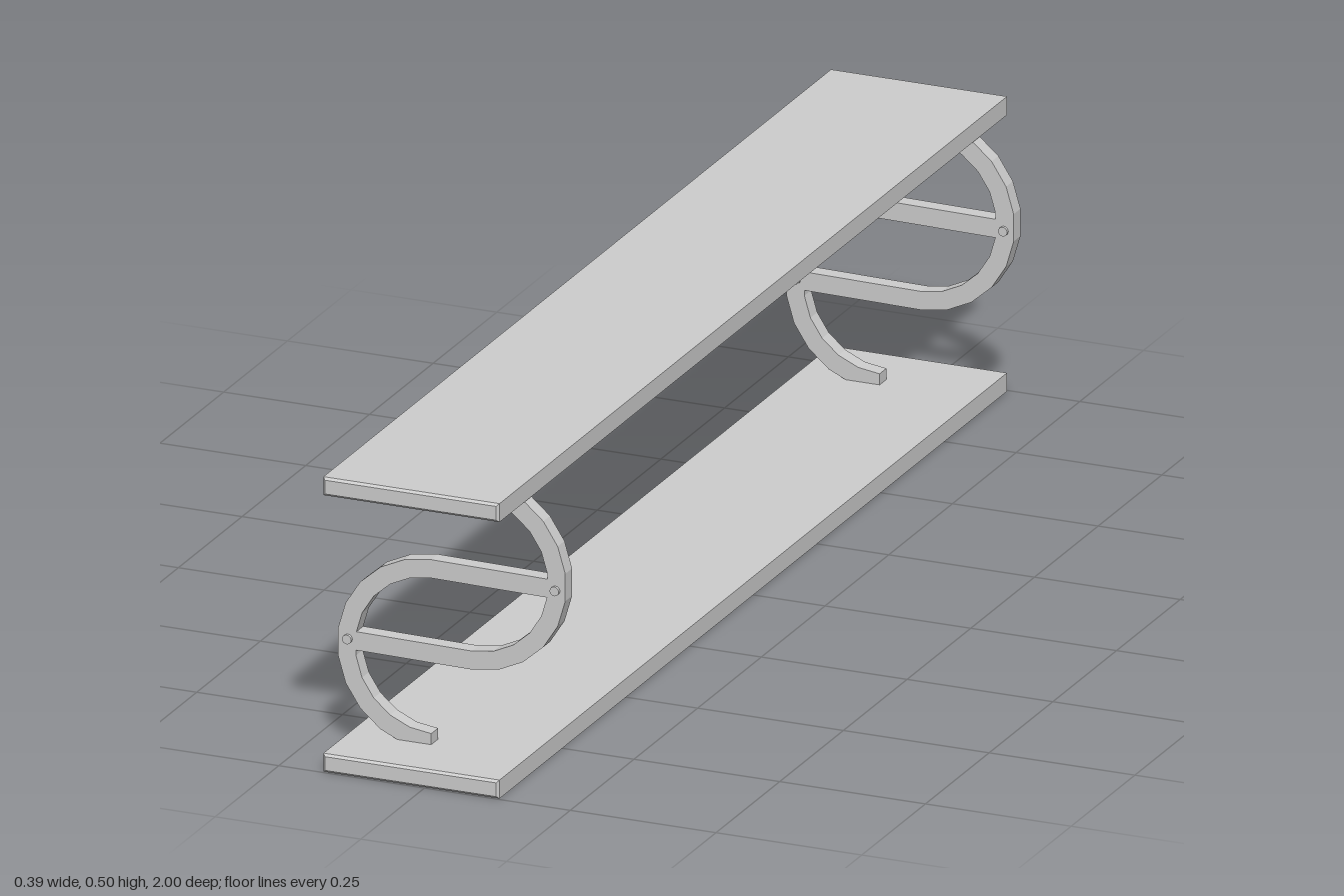
import * as THREE from 'three';

const material = new THREE.MeshStandardMaterial({ color: 0xcccccc });
const MID_Y = 0.2545;    // height of the point the two hooks turn about
const BAND = 0.027;      // hook thickness along z

function add(parent, name, geometry) {
  const mesh = new THREE.Mesh(geometry, material);
  mesh.name = name;
  parent.add(mesh);
  return mesh;
}

// Long board with every edge chamfered
function shelfGeometry(width, height, length, c) {
  const w = width / 2 - c, h = height / 2 - c;
  const shape = new THREE.Shape();
  shape.moveTo(-w, -h).lineTo(w, -h).lineTo(w, h).lineTo(-w, h).closePath();
  const geometry = new THREE.ExtrudeGeometry(shape, {
    depth: length - 2 * c, bevelEnabled: true, bevelSegments: 1, bevelSize: c, bevelThickness: c,
  });
  return geometry.translate(0, 0, -length / 2 + c);
}

// Flat J-shaped band: half ring running into a slightly sloping bar
function hookGeometry() {
  const cx = 0.035, cy = 0.0745, outer = 0.1615, inner = 0.1305, steps = 11;
  const ring = (r) => Array.from({ length: steps + 1 }, (_, i) => {
    const a = Math.PI / 2 - (i / steps) * Math.PI;
    return new THREE.Vector2(cx + r * Math.cos(a), cy + r * Math.sin(a));
  });
  const points = [
    ...ring(outer),
    new THREE.Vector2(-0.18, -0.084),
    new THREE.Vector2(-0.18, -0.053),
    ...ring(inner).reverse(),
  ];
  return new THREE.ExtrudeGeometry(new THREE.Shape(points), { depth: BAND, bevelEnabled: false })
    .translate(0, 0, -BAND / 2);
}

export function createModel() {
  const model = new THREE.Group();
  model.name = 'shelfUnit';

  // Shelves
  const shelf = shelfGeometry(0.302, 0.031, 2, 0.004);
  add(model, 'lowerShelf', shelf).position.set(-0.024, 0.0155, 0);
  add(model, 'upperShelf', shelf).position.set(-0.024, 0.4795, 0);

  // One S-shaped support near each end: two hooks, each a half turn of the other
  const hook = hookGeometry();
  const bolt = new THREE.CylinderGeometry(0.0078, 0.0078, 0.037, 16).rotateX(Math.PI / 2);
  for (const [side, z] of [['front', 0.88], ['back', -0.88]]) {
    const support = new THREE.Group();
    support.name = side + 'Support';
    support.position.set(0, MID_Y, z);
    add(support, 'upperHook', hook);
    add(support, 'lowerHook', hook).rotation.z = Math.PI;
    add(support, 'upperBolt', bolt).position.set(0.178, 0.067, 0);
    add(support, 'lowerBolt', bolt).position.set(-0.178, -0.067, 0);
    model.add(support);
  }
  return model;
}
